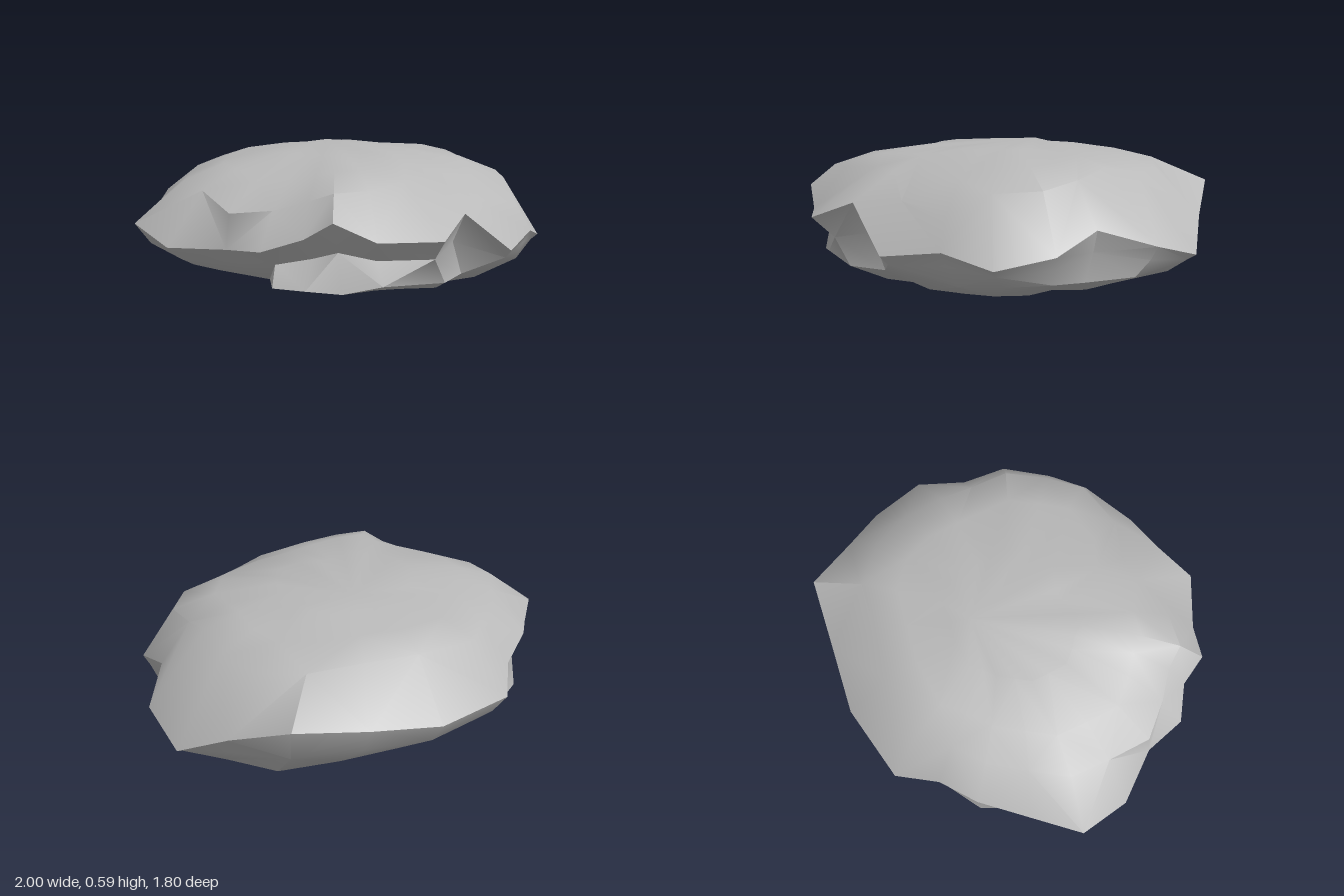
import * as THREE from 'three';
import { toCreasedNormals } from 'three/addons/utils/BufferGeometryUtils.js';

// One row per station round the rim: rim x, rim z, rim height, shoulder scale, shoulder height
const stations = [
  [-1.0, -0.03, 0.28, 0.77, 0.46],
  [-0.92, 0.21, 0.21, 0.81, 0.44],
  [-0.72, 0.40, 0.22, 0.97, 0.37],
  [-0.64, 0.59, 0.24, 0.86, 0.39],
  [-0.48, 0.66, 0.29, 0.88, 0.43],
  [-0.40, 0.77, 0.37, 0.86, 0.47],
  [-0.22, 0.81, 0.28, 0.82, 0.47],
  [0.04, 0.90, 0.28, 0.65, 0.49],
  [0.22, 0.77, 0.36, 0.72, 0.48],
  [0.48, 0.75, 0.17, 0.82, 0.38],
  [0.71, 0.58, 0.21, 0.92, 0.34],
  [0.87, 0.43, 0.15, 0.82, 0.43],
  [0.96, 0.20, 0.20, 0.83, 0.44],
  [0.90, -0.03, 0.28, 0.84, 0.47],
  [1.0, -0.26, 0.21, 0.72, 0.51],
  [0.93, -0.52, 0.14, 0.74, 0.48],
  [0.74, -0.69, 0.27, 0.80, 0.48],
  [0.53, -0.90, 0.40, 0.75, 0.51],
  [0.20, -0.90, 0.33, 0.75, 0.51],
  [-0.12, -0.90, 0.28, 0.76, 0.51],
  [-0.48, -0.78, 0.27, 0.80, 0.49],
  [-0.58, -0.59, 0.31, 0.83, 0.49],
  [-0.73, -0.45, 0.36, 0.82, 0.48],
  [-0.86, -0.24, 0.29, 0.80, 0.47],
];

// How far the foot spreads out towards the rim, by station
const flare = { 3: 0.7, 4: 0.95, 5: 0.6, 6: 0.6, 20: 0.3, 21: 0.85, 22: 0.92 };

function foot([x, z], i) {
  const f = flare[i] ?? 0;
  return [
    THREE.MathUtils.lerp(x * 0.84 + 0.1, x, f),
    0.07 + 0.012 * Math.sin(i * 2.3),
    THREE.MathUtils.lerp(z * 0.82 + 0.02, z, f),
  ];
}

// Band between foot and rim, cut in below the front
function waist([x, z, y], i) {
  const s = i >= 3 && i <= 8 ? 0.89 : 0.95;
  return [x * s + 0.02, 0.05 + y * 0.48, z * s];
}

// Rings from the flat base up over the rim to the domed top
const rings = [
  ([x, z]) => [x * 0.6 + 0.16, 0, z * 0.58 + 0.08],
  foot,
  waist,
  ([x, z, y]) => [x, y, z],
  ([x, z, y, s, h]) => [x * s, h, z * s],
  ([x, z, y, s, h]) => [x * s * 0.76, h + (0.59 - h) * 0.52, z * s * 0.76 - 0.01],
  ([x, z, y, s, h], i) => [x * s * 0.42, 0.566 + 0.004 * Math.sin(i * 1.7), z * s * 0.42 - 0.05],
];

function boulderGeometry() {
  const n = stations.length;
  const positions = [];
  const index = [];
  rings.forEach((ring) => stations.forEach((s, i) => positions.push(...ring(s, i))));
  for (let r = 0; r < rings.length - 1; r++) {
    for (let i = 0; i < n; i++) {
      const j = (i + 1) % n;
      const a = r * n + i, b = r * n + j, c = b + n, d = a + n;
      // alternate the diagonals for irregular facets
      if ((i + r) % 2) index.push(a, b, c, a, c, d);
      else index.push(a, b, d, b, c, d);
    }
  }
  // Close the base and the crown
  const bottom = positions.length / 3, top = bottom + 1;
  positions.push(0.16, 0, 0.08, 0.04, 0.592, -0.24);
  const last = (rings.length - 1) * n;
  for (let i = 0; i < n; i++) {
    const j = (i + 1) % n;
    index.push(j, i, bottom, last + i, last + j, top);
  }
  const geometry = new THREE.BufferGeometry();
  geometry.setAttribute('position', new THREE.Float32BufferAttribute(positions, 3));
  geometry.setIndex(index);
  return toCreasedNormals(geometry, 0.7);
}

export function createModel() {
  const group = new THREE.Group();
  group.name = 'rock';
  const stone = new THREE.MeshStandardMaterial({ color: 0xb9b9b9 });
  stone.name = 'grey stone';
  const boulder = new THREE.Mesh(boulderGeometry(), stone);
  boulder.name = 'boulder';
  group.add(boulder);
  return group;
}
